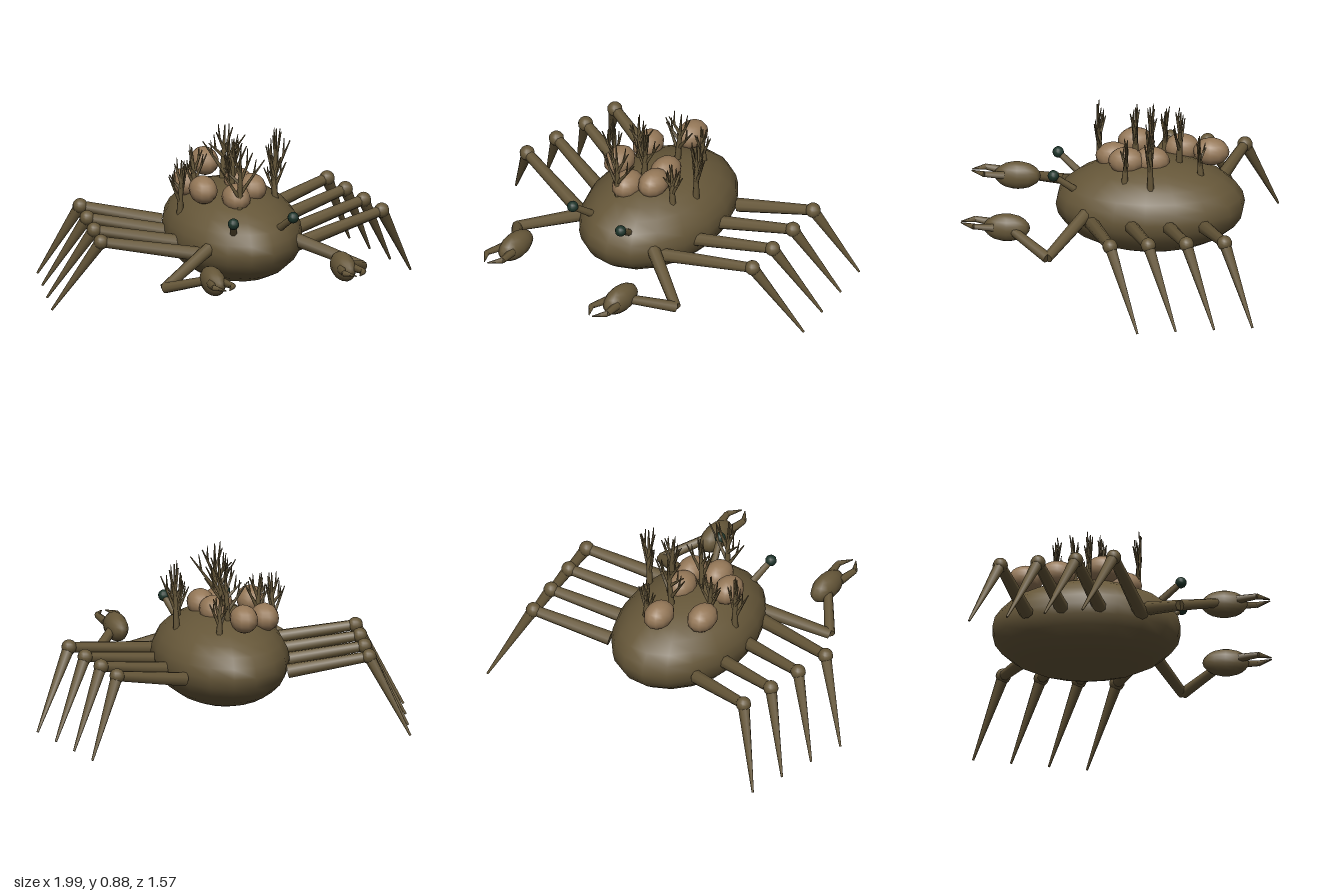
import * as THREE from 'three';

const shell = new THREE.MeshStandardMaterial({ color: 0x665739 });
shell.name = 'shell brown';
const barnacleTan = new THREE.MeshStandardMaterial({ color: 0x957858 });
barnacleTan.name = 'barnacle tan';
const eyeDark = new THREE.MeshStandardMaterial({ color: 0x1c3329 });
eyeDark.name = 'eye dark green';

const V = (p) => new THREE.Vector3(...p);

// Tapered limb between two points
function limb(parent, name, from, to, r0, r1, sides = 8) {
  const a = V(from), b = V(to), dir = b.clone().sub(a);
  const mesh = new THREE.Mesh(new THREE.CylinderGeometry(r1, r0, dir.length(), sides), shell);
  mesh.position.copy(a).add(b).multiplyScalar(0.5);
  mesh.quaternion.setFromUnitVectors(new THREE.Vector3(0, 1, 0), dir.normalize());
  mesh.name = name;
  parent.add(mesh);
}

// Ellipsoid with separate radii
function blob(parent, name, at, radii, mat = shell, w = 12, h = 8) {
  const geo = new THREE.SphereGeometry(1, w, h).scale(...radii);
  const mesh = new THREE.Mesh(geo, mat);
  mesh.position.set(...at);
  mesh.name = name;
  parent.add(mesh);
}

// Height of the shell's upper surface
const C = [0, 0.345, -0.18], R = [0.35, 0.245, 0.497];
const shellTop = (x, z) =>
  C[1] + R[1] * Math.sqrt(Math.max(0, 1 - (x / R[0]) ** 2 - ((z - C[2]) / R[2]) ** 2));

function walkingLegs(side) {
  const legs = new THREE.Group();
  legs.name = side > 0 ? 'leftLegs' : 'rightLegs';
  for (let i = 0; i < 4; i++) {
    const knee = [side * (0.775 - 0.031 * i), 0.405, -0.03 - 0.197 * i];
    const hip = [side * (0.25 + 0.01 * i), 0.32, 0.11 - 0.2 * i];
    const foot = [side * (0.99 - 0.043 * i), 0.005, -0.19 - 0.197 * i];
    limb(legs, 'upperLeg', hip, knee, 0.038, 0.028);
    blob(legs, 'knee', knee, [0.04, 0.04, 0.04], shell, 12, 10);
    limb(legs, 'lowerLeg', knee, foot, 0.032, 0.006);
  }
  return legs;
}

function clawArm(side) {
  const arm = new THREE.Group();
  arm.name = side > 0 ? 'leftClawArm' : 'rightClawArm';
  const elbow = [side * 0.545, 0.235, 0.315];
  limb(arm, 'upperArm', [side * 0.24, 0.36, 0.14], elbow, 0.036, 0.028);
  limb(arm, 'forearm', elbow, [side * 0.39, 0.32, 0.51], 0.029, 0.024);
  blob(arm, 'claw', [side * 0.36, 0.325, 0.542], [0.06, 0.074, 0.122], shell, 12, 10);
  // Bent pincer fingers
  for (const s of [-1, 1]) {
    const bend = [side * 0.36 + s * 0.053, 0.345, 0.71];
    limb(arm, 'fingerBase', [side * 0.36 + s * 0.036, 0.335, 0.61], bend, 0.023, 0.016, 6);
    limb(arm, 'fingerTip', bend, [side * 0.36 + s * 0.01, 0.347, 0.78], 0.016, 0.003, 6);
  }
  return arm;
}

function eyeStalk(side) {
  const eye = new THREE.Group();
  eye.name = side > 0 ? 'leftEye' : 'rightEye';
  limb(eye, 'stalk', [side * 0.125, 0.45, 0.2], [side * 0.165, 0.54, 0.312], 0.02, 0.017);
  blob(eye, 'eyeball', [side * 0.165, 0.542, 0.314], [0.03, 0.03, 0.03], eyeDark);
  return eye;
}

// Branching twig, fanned out mostly sideways
function twig(x, z, top, left, right, k) {
  const g = new THREE.Group();
  g.name = 'weedTwig';
  const y0 = shellTop(x, z) - 0.03, h = top - y0;
  const lean = 0.02 * Math.sin(k * 2.3), drift = 0.016 * Math.cos(k * 1.7);
  const at = (t) => [x + lean * t, y0 + h * t, z + drift * t];
  limb(g, 'stem', at(0), at(0.5), 0.019, 0.012, 6);
  limb(g, 'stemTip', at(0.48), at(1), 0.012, 0.003, 6);
  // Side branches: start, end height, sideways reach
  const branches = [
    [0.22, 0.74, left], [0.3, 0.82, right], [0.46, 0.72, left * 0.75],
    [0.5, 0.93, right * 0.55], [0.6, 0.92, left * 0.4],
  ];
  branches.forEach(([t0, t1, reach], j) => {
    const s = at(t0);
    const e = [x + reach, y0 + h * t1, z + 0.025 * Math.sin(k * 1.9 + j * 2.1)];
    limb(g, 'branch', s, e, 0.011, 0.003, 5);
    const m = s.map((v, n) => v + (e[n] - v) * 0.55);
    limb(g, 'sprig', m, [m[0] + reach * 0.1, m[1] + h * 0.26, m[2] + 0.012 * Math.cos(j + k)], 0.007, 0.002, 5);
  });
  return g;
}

export function createModel() {
  const model = new THREE.Group();
  model.name = 'crab';
  blob(model, 'body', C, R, shell, 18, 14);

  for (const side of [1, -1]) {
    model.add(walkingLegs(side), clawArm(side), eyeStalk(side));
  }

  // Barnacles on the back
  const barnacles = [
    [-0.04, 0.622, -0.495], [-0.2, 0.575, -0.33], [-0.19, 0.607, -0.09],
    [0.04, 0.595, -0.19], [0.07, 0.6, -0.06], [-0.045, 0.58, 0.015],
  ];
  for (const p of barnacles) blob(model, 'barnacle', p, [0.073, 0.073, 0.095], barnacleTan, 12, 10);

  // Twigs: x, z, top height, reach to -x, reach to +x
  const twigs = [
    [-0.05, 0.085, 0.865, -0.11, 0.13], [-0.03, -0.1, 0.865, -0.05, 0.09],
    [0.2, -0.06, 0.76, -0.06, 0.06], [0.24, -0.2, 0.86, -0.04, 0.08],
    [-0.29, -0.17, 0.76, -0.07, 0.04], [-0.18, -0.24, 0.79, -0.07, 0.07],
    [0.0, -0.33, 0.86, -0.1, 0.12], [0.08, -0.45, 0.74, -0.05, 0.05],
  ];
  twigs.forEach((t, k) => model.add(twig(...t, k)));
  return model;
}
